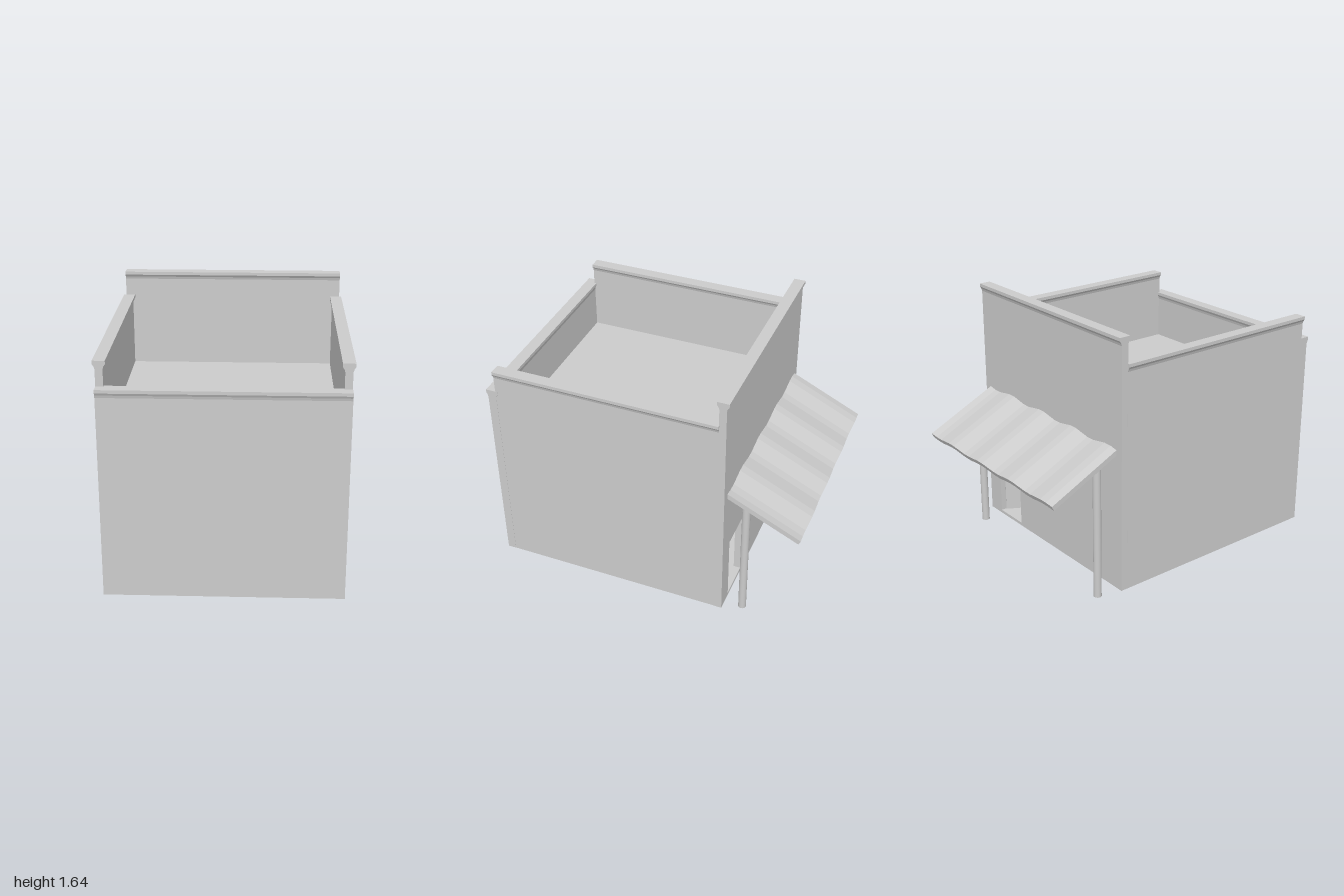
import * as THREE from 'three';

const material = new THREE.MeshStandardMaterial({ color: 0xcccccc, flatShading: true });
const smooth = new THREE.MeshStandardMaterial({ color: 0xcccccc });
const BASE = 0.035;   // underside of the building
const ROOF = 1.007;   // top of the flat roof

function add(parent, name, geometry, mat = material) {
  const mesh = new THREE.Mesh(geometry, mat);
  mesh.name = name;
  parent.add(mesh);
  return mesh;
}

function slab(parent, name, x0, x1, y0, y1, z0, z1) {
  const mesh = add(parent, name, new THREE.BoxGeometry(x1 - x0, y1 - y0, z1 - z0));
  mesh.position.set((x0 + x1) / 2, (y0 + y1) / 2, (z0 + z1) / 2);
  return mesh;
}

const polygon = (points) => new THREE.Shape(points.map(([x, y]) => new THREE.Vector2(x, y)));
const extrude = (shape, depth) => new THREE.ExtrudeGeometry(shape, { depth, bevelEnabled: false });

// Wall with a flared coping, extruded along z and centred on its length
function copedWall(bottom, top, length, half = 0.0225, cap = 0.037) {
  const side = [
    [half, bottom],
    [half, top - 0.05],
    [half + (cap - half) * 0.35, top - 0.034],
    [cap, top - 0.02],
    [cap, top],
  ];
  const mirrored = side.map(([x, y]) => [-x, y]).reverse();
  return extrude(polygon([...side, ...mirrored]), length).translate(0, 0, -length / 2);
}

export function createModel() {
  const model = new THREE.Group();
  model.name = 'shopBuilding';

  // Side walls
  for (const [name, x] of [['leftWall', 0.691], ['rightWall', -0.693]]) {
    add(model, name, copedWall(BASE, 1.48, 1.43)).position.set(x, 0, 0.223);
  }

  // Low front wall
  const front = add(model, 'frontWall', copedWall(BASE, 1.33, 1.43, 0.027, 0.038));
  front.geometry.rotateY(Math.PI / 2);
  front.position.z = 0.962;

  // Back wall: lower part with a doorway, upper part with coping
  const lower = polygon([[-0.715, BASE], [0.715, BASE], [0.715, ROOF], [-0.715, ROOF]]);
  lower.holes.push(new THREE.Path([
    [0.355, 0.055], [0.355, 0.5], [0.595, 0.5], [0.595, 0.055],
  ].map(([x, y]) => new THREE.Vector2(x, y))));
  add(model, 'backWallWithDoorway', extrude(lower, 0.045)).position.z = -0.535;
  const upper = add(model, 'backParapet', copedWall(ROOF, 1.64, 1.43));
  upper.geometry.rotateY(Math.PI / 2);
  upper.position.z = -0.5125;

  // Floor and sunken flat roof
  slab(model, 'floor', -0.7, 0.7, BASE, 0.055, -0.5, 0.96);
  slab(model, 'roof', -0.69, 0.69, ROOF - 0.04, ROOF, -0.5, 0.96);

  // Door leaf standing open into the building
  const door = new THREE.Group();
  door.name = 'door';
  slab(door, 'doorLeaf', -0.235, 0, 0.058, 0.497, -0.008, 0.008);
  door.position.set(0.59, 0, -0.5);
  door.rotation.y = 1.06;
  model.add(door);

  // Corrugated awning sloping down from the back wall
  const waves = 4, steps = 24, thick = 0.032;
  const ridge = [];
  for (let i = 0; i <= steps; i++) {
    const t = i / steps;
    ridge.push([0.663 - 1.33 * t, -0.01 * Math.sin(t * waves * Math.PI * 2)]);
  }
  const top = ridge.map(([x, y]) => [x, y + thick / 2]);
  const under = ridge.map(([x, y]) => [x, y - thick / 2]).reverse();
  const awningLength = 0.525;
  const awning = add(model, 'awning', extrude(polygon([...top, ...under]), awningLength));
  awning.geometry.translate(0, 0, -awningLength);
  awning.rotation.x = -0.44;
  awning.position.set(0, 0.94, -0.515);

  // Round awning posts
  for (const [name, x, foot] of [['leftPost', 0.627, 0.013], ['rightPost', -0.622, 0]]) {
    const height = 0.875 - foot;
    const post = add(model, name, new THREE.CylinderGeometry(0.025, 0.025, height, 16), smooth);
    post.position.set(x, foot + height / 2, -0.645);
  }

  return model;
}
